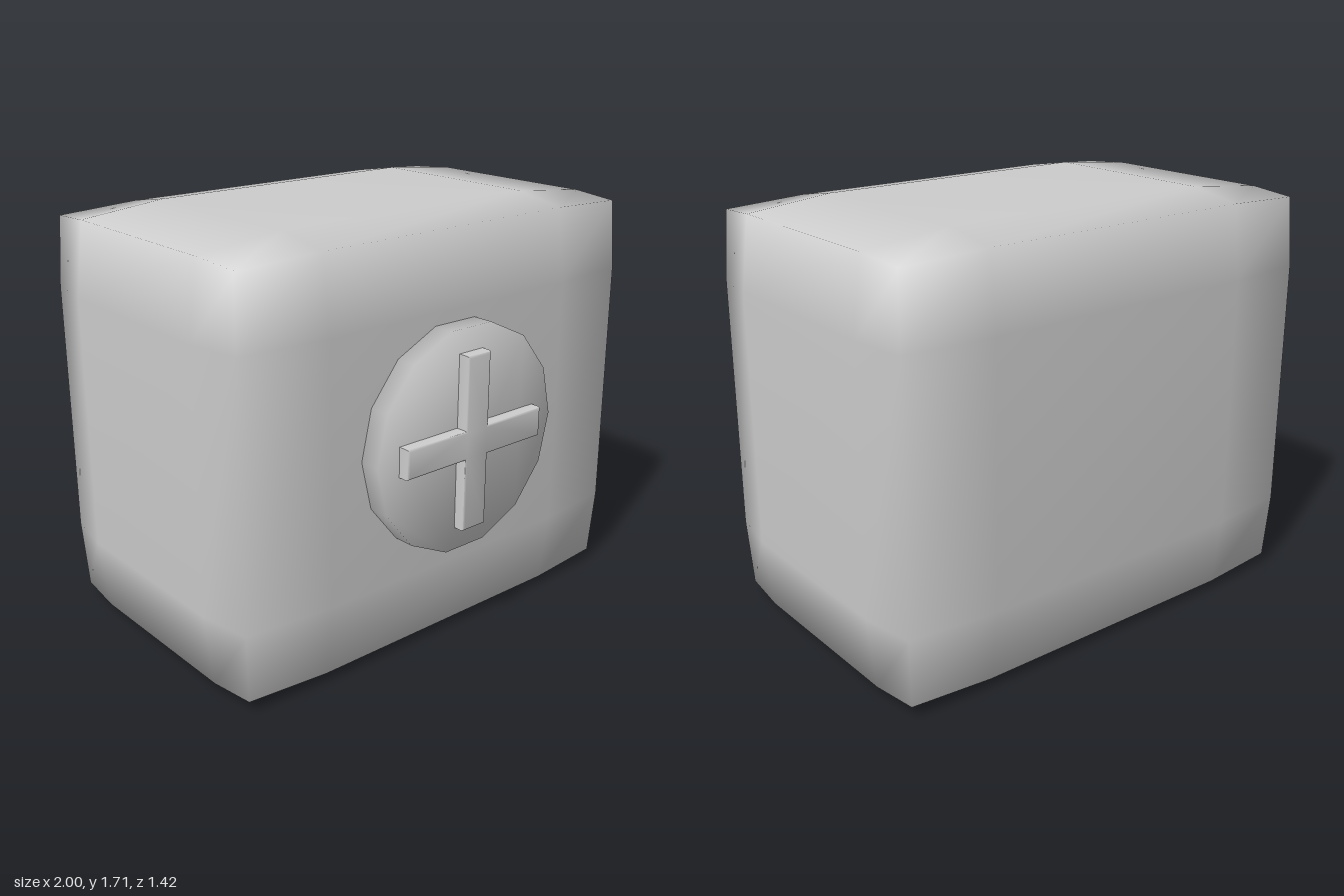
import * as THREE from 'three';
import { mergeVertices, toCreasedNormals } from 'three/addons/utils/BufferGeometryUtils.js';

const grey = new THREE.MeshStandardMaterial({ color: 0xcccccc });
grey.name = 'plain grey';

// Box with three segments per side: edges are drawn in a little, corners a little more
function puffedBox(half, inner, edgeInset, cornerInset) {
  const geo = new THREE.BoxGeometry(half[0] * 2, half[1] * 2, half[2] * 2, 3, 3, 3);
  geo.deleteAttribute('uv');
  geo.deleteAttribute('normal');
  const pos = geo.attributes.position;
  for (let i = 0; i < pos.count; i++) {
    const p = [pos.getX(i), pos.getY(i), pos.getZ(i)];
    const outer = p.map((v, k) => Math.abs(v) > half[k] * 0.9);
    const inset = [0, 0, edgeInset, cornerInset][outer.filter(Boolean).length];
    const q = p.map((v, k) => Math.sign(v) * (outer[k] ? half[k] - inset : inner[k]));
    pos.setXYZ(i, ...q);
  }
  const merged = mergeVertices(geo, 1e-4);
  merged.computeVertexNormals();
  return merged;
}

// Fourteen-sided disc whose shading rolls smoothly over the rim
function softDisc(radius, depth) {
  const points = [];
  for (let i = 0; i < 14; i++) {
    const a = (i / 14) * Math.PI * 2;
    points.push(new THREE.Vector2(Math.cos(a) * radius, Math.sin(a) * radius));
  }
  const geo = new THREE.ExtrudeGeometry(new THREE.Shape(points), { depth, bevelEnabled: false });
  const pos = geo.attributes.position;
  const n = new THREE.Vector3();
  for (let i = 0; i < pos.count; i++) {
    const front = pos.getZ(i) > depth / 2 ? 1 : -1;
    n.set(pos.getX(i) / radius * 0.6, pos.getY(i) / radius * 0.6, front).normalize();
    geo.attributes.normal.setXYZ(i, n.x, n.y, n.z);
  }
  return geo;
}

// Plus-shaped relief with softened edges
function crossRelief(length, width, depth, bevel) {
  const shape = new THREE.Shape([
    [width, width], [width, length], [-width, length], [-width, width],
    [-length, width], [-length, -width], [-width, -width], [-width, -length],
    [width, -length], [width, -width], [length, -width], [length, width],
  ].map(([x, y]) => new THREE.Vector2(x, y)));
  const geo = new THREE.ExtrudeGeometry(shape, {
    depth: depth - bevel * 2, bevelThickness: bevel, bevelSize: bevel,
    bevelOffset: -bevel, bevelSegments: 2,
  });
  geo.translate(0, 0, bevel);
  return toCreasedNormals(geo, 0.9);
}

export function createModel() {
  const model = new THREE.Group();
  model.name = 'case';
  const add = (name, geo, x, y, z) => {
    const mesh = new THREE.Mesh(geo, grey);
    mesh.name = name;
    mesh.position.set(x, y, z);
    model.add(mesh);
  };

  add('body', puffedBox([1, 0.855, 0.645], [0.6, 0.52, 0.39], 0.037, 0.052), 0, 0.855, -0.067);
  add('badgeDisc', softDisc(0.457, 0.165), 0, 0.88, 0.5);
  add('badgeCross', crossRelief(0.352, 0.06, 0.092, 0.01), 0, 0.88, 0.62);
  return model;
}
